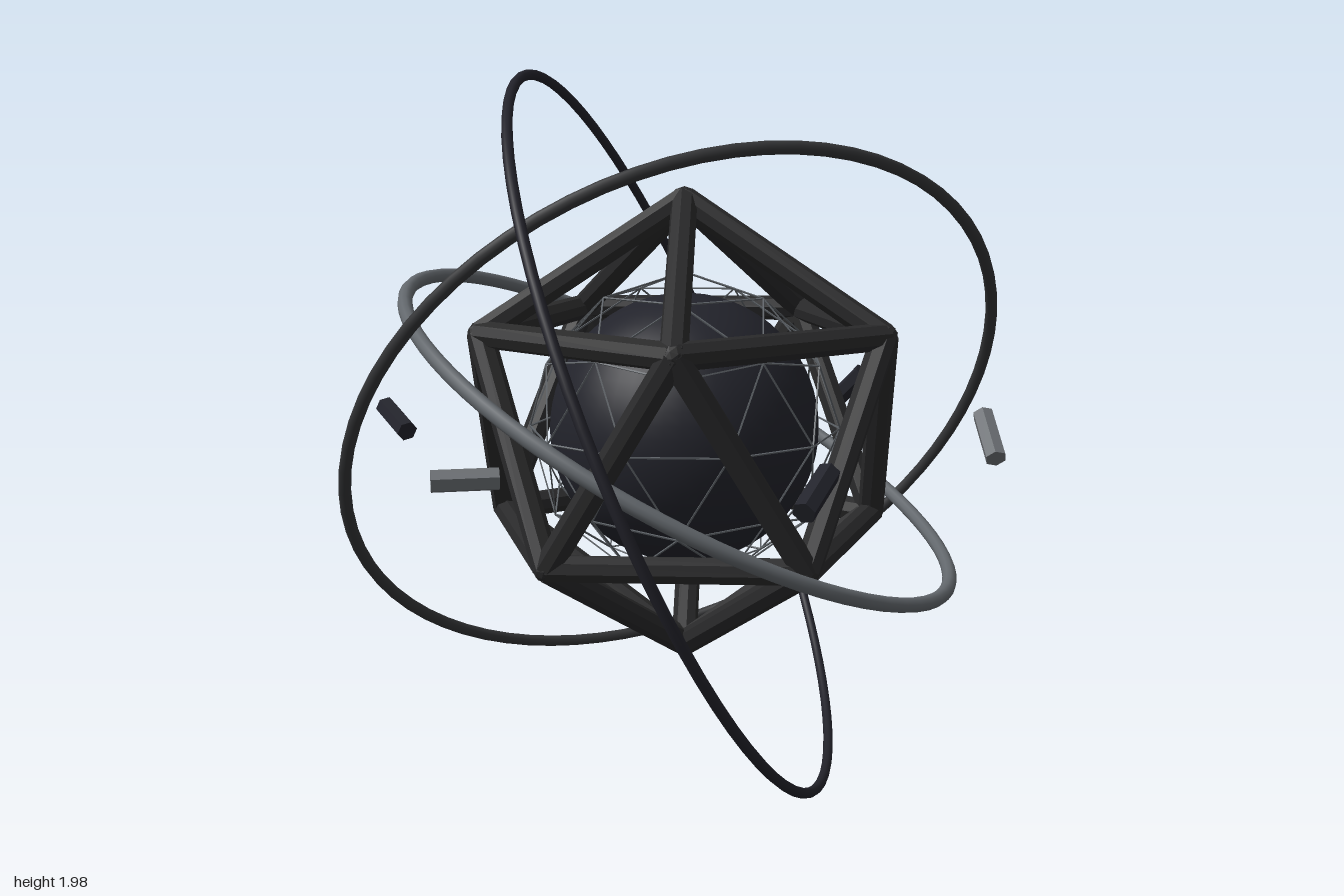
import * as THREE from 'three';
import { mergeGeometries } from 'three/addons/utils/BufferGeometryUtils.js';

const UP = new THREE.Vector3(0, 1, 0);
const mat = (color, flatShading = false) => new THREE.MeshStandardMaterial({ color, flatShading });

// Unit icosahedron corners with poles on the y axis
function icosahedronPoints() {
  const points = [new THREE.Vector3(0, 1, 0), new THREE.Vector3(0, -1, 0)];
  const h = 1 / Math.sqrt(5);
  for (let i = 0; i < 5; i++) {
    const a = (i * Math.PI * 2) / 5;
    const p = new THREE.Vector3(2 * h * Math.cos(a), h, 2 * h * Math.sin(a));
    points.push(p, p.clone().negate());
  }
  return points;
}

// All pairs of points closer than a limit
function edgesOf(points, limit) {
  const edges = [];
  points.forEach((a, i) => points.slice(i + 1).forEach((b) => {
    if (a.distanceTo(b) < limit) edges.push([a, b]);
  }));
  return edges;
}

// One merged geometry of straight rods along the edges
function rods(edges, scale, radius, sides) {
  return mergeGeometries(edges.map(([a, b]) => {
    const dir = b.clone().sub(a);
    const g = new THREE.CylinderGeometry(radius, radius, dir.length() * scale, sides);
    g.applyQuaternion(new THREE.Quaternion().setFromUnitVectors(UP, dir.normalize()));
    const mid = a.clone().add(b).multiplyScalar(scale / 2);
    return g.translate(mid.x, mid.y, mid.z);
  }));
}

export function createModel() {
  const group = new THREE.Group();
  const body = new THREE.Group();
  body.name = 'orbitalCore';
  body.position.y = 1;
  group.add(body);

  const add = (name, geometry, material) => {
    const mesh = new THREE.Mesh(geometry, material);
    mesh.name = name;
    body.add(mesh);
    return mesh;
  };

  // Smooth core
  add('coreSphere', new THREE.SphereGeometry(0.38, 48, 32), mat(0x22232b));

  // Thin geodesic wire shell around the core
  const corners = icosahedronPoints();
  const frameEdges = edgesOf(corners, 1.1);
  const middles = frameEdges.map(([a, b]) => a.clone().add(b).normalize());
  const wireEdges = edgesOf([...corners, ...middles], 0.7);
  add('wireShell', rods(wireEdges, 0.44, 0.003, 4), mat(0x5c6166, true));

  // Heavy cage with a hub at each corner
  const R = 0.64;
  const cageMat = mat(0x29292a, true);
  add('cageStruts', rods(frameEdges, R, 0.037, 8), cageMat);
  const hubs = corners.map((p) =>
    new THREE.IcosahedronGeometry(0.036, 1).translate(p.x * R, p.y * R, p.z * R));
  add('cageHubs', mergeGeometries(hubs), cageMat);

  // Tilted rings: name, radius, tube radius, axis, color
  const rings = [
    ['outerRing', 1.064, 0.014, [0.474, 0.396, 0.787], 0x22222a],
    ['middleRing', 0.964, 0.017, [0.359, 0.573, -0.737], 0x333436],
    ['innerRing', 0.859, 0.02, [0.226, 0.879, 0.42], 0x63686d],
  ];
  for (const [name, radius, tube, axis, color] of rings) {
    const ring = add(name, new THREE.TorusGeometry(radius, tube, 10, 72), mat(color));
    const n = new THREE.Vector3(...axis).normalize();
    ring.quaternion.setFromUnitVectors(new THREE.Vector3(0, 0, 1), n);
  }

  // Six floating hexagonal rods, alternating dark and light
  const directions = [
    [0, 0.7, 0.7], [0.57, 0.6, -0.57], [0.9, 0.4, -0.18],
    [0.75, 0, 0.65], [0.3, 0.3, -0.9], [0.73, 0.68, 0.12],
  ];
  const rodGeometry = new THREE.CylinderGeometry(0.03, 0.03, 0.165, 6);
  const rodMats = [mat(0x22232b, true), mat(0x6b6f73, true)];
  directions.forEach((d, i) => {
    const a = (i * Math.PI) / 3;
    const rod = add('floatingRod', rodGeometry, rodMats[i % 2]);
    rod.position.set(0.85 * Math.cos(a), 0, 0.85 * Math.sin(a));
    rod.quaternion.setFromUnitVectors(UP, new THREE.Vector3(...d).normalize());
  });

  return group;
}
